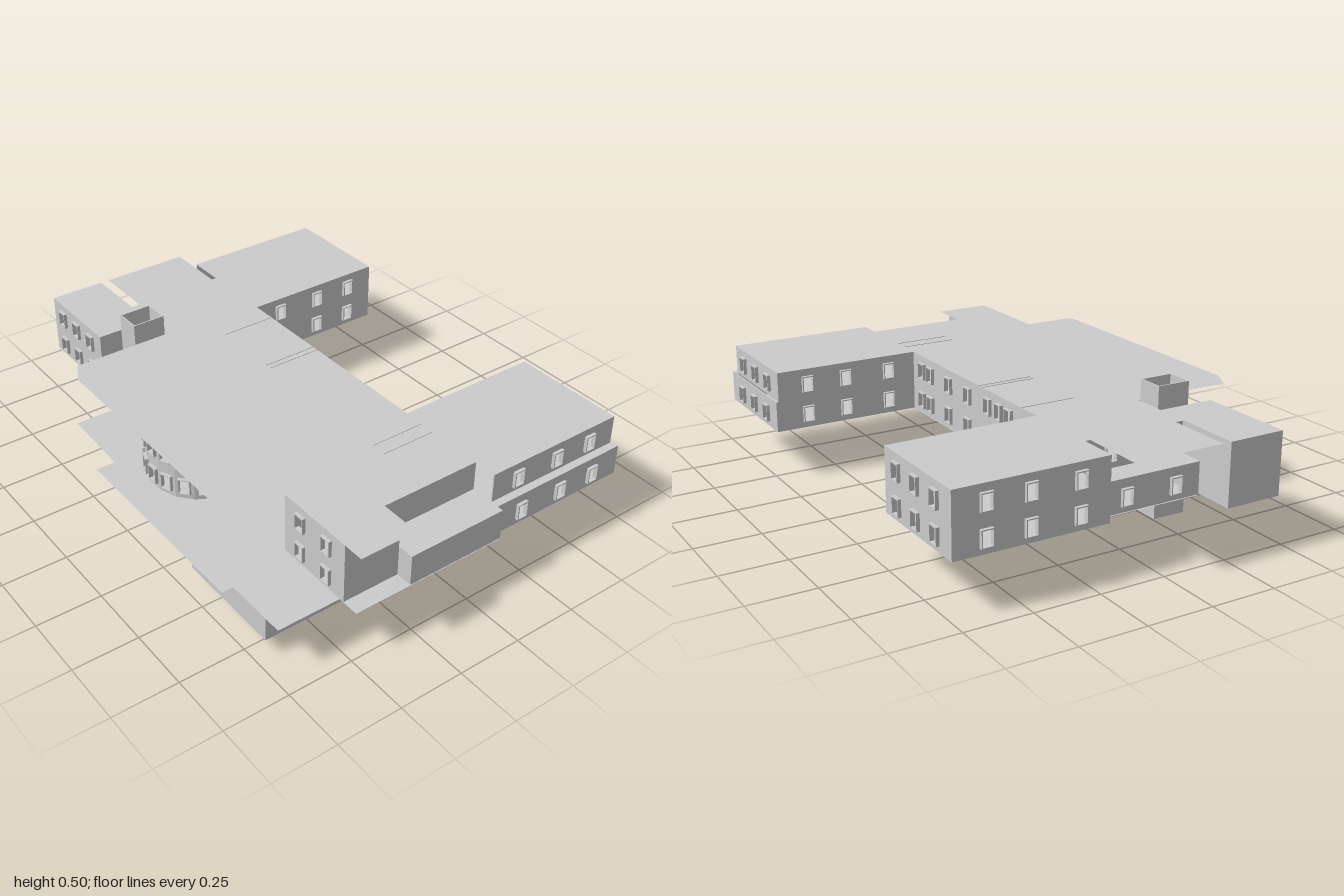
import * as THREE from 'three';

const mat = new THREE.MeshStandardMaterial({ color: 0xcccccc, side: THREE.DoubleSide, flatShading: true });
const BASE = 0.185, MID = 0.305, ROOF = 0.42;
const WALL = 0.005;

function add(parent, geo, name) {
  const m = new THREE.Mesh(geo, mat);
  m.name = name;
  parent.add(m);
  return m;
}

function rect(target, cx, cy, w, h) {
  target.moveTo(cx - w / 2, cy - h / 2);
  target.lineTo(cx + w / 2, cy - h / 2);
  target.lineTo(cx + w / 2, cy + h / 2);
  target.lineTo(cx - w / 2, cy + h / 2);
  target.closePath();
  return target;
}

// Flat thin floor or roof from [x, z] corners
function slab(parent, name, pts, y) {
  const s = new THREE.Shape(pts.map(([x, z]) => new THREE.Vector2(x, -z)));
  const m = add(parent, new THREE.ShapeGeometry(s).rotateX(-Math.PI / 2), name);
  m.position.y = y;
}

// Wall from a to b, outside on its right-hand front, with openings at given distances
function wall(parent, name, a, b, y0, y1, holes = [], win = { w: 0.038, h: 0.056, y: 0.055 }) {
  const dx = b[0] - a[0], dz = b[1] - a[1], len = Math.hypot(dx, dz);
  const g = new THREE.Group();
  g.name = name;
  g.position.set(a[0], y0, a[1]);
  g.rotation.y = -Math.atan2(dz, dx);
  parent.add(g);
  const s = rect(new THREE.Shape(), len / 2, (y1 - y0) / 2, len, y1 - y0);
  for (const d of holes) s.holes.push(rect(new THREE.Path(), d, win.y, win.w, win.h));
  const geo = new THREE.ExtrudeGeometry(s, { depth: WALL, bevelEnabled: false });
  add(g, geo.translate(0, 0, -WALL), 'wallPanel');
  // projecting frame around each opening
  for (const d of holes) {
    const f = rect(new THREE.Shape(), d, win.y, win.w + 0.008, win.h + 0.008);
    f.holes.push(rect(new THREE.Path(), d, win.y, win.w, win.h));
    add(g, new THREE.ExtrudeGeometry(f, { depth: 0.013, bevelEnabled: false }), 'windowFrame');
  }
}

// Run of walls along corners; openings are listed per edge
function storey(parent, name, pts, y0, y1, openings = {}, closed = true) {
  const g = new THREE.Group();
  g.name = name;
  parent.add(g);
  const n = closed ? pts.length : pts.length - 1;
  for (let i = 0; i < n; i++) wall(g, 'wall', pts[i], pts[(i + 1) % pts.length], y0, y1, openings[i]);
}

const box = (x0, x1, z0, z1) => [[x0, z1], [x1, z1], [x1, z0], [x0, z0]];

function wing(parent, name, x1, z0, z1, x1Low, z1Low) {
  const g = new THREE.Group();
  g.name = name;
  parent.add(g);
  const xs = [0.115, 0.3, 0.46];
  [[BASE, MID, x1Low, z1Low], [MID, ROOF, x1, z1]].forEach(([y0, y1, xe, ze]) => {
    const d = ze - z0, xw = xe - 0.15;
    const open = { 0: xs, 1: [0.09, 0.22, 0.35].map(v => v + d - 0.45), 2: xs.map(v => xw - v) };
    storey(g, 'wingStorey', box(0.15, xe, z0, ze), y0, y1, open, false);
    slab(g, 'wingFloor', box(0.15, xe, z0, ze), y0);
  });
  slab(g, 'wingRoof', box(0.15, x1, z0, z1), ROOF);
}

export function createModel() {
  const model = new THREE.Group();
  model.name = 'building';

  // Two side wings
  wing(model, 'frontWing', 0.73, 0.48, 0.93, 0.74, 0.96);
  wing(model, 'backWing', 0.73, -0.9, -0.45, 0.73, -0.45);

  // Central spine with a round bay on its outer side
  const bay = [], N = 9;
  for (let i = 0; i <= N; i++) {
    const t = (i / N) * Math.PI;
    bay.push([-0.445 - 0.2 * Math.sin(t), 0.04 - 0.2 * Math.cos(t)]);
  }
  const facade = [0.4, 0.33, 0.18, 0.03, -0.12, -0.2, -0.27];
  const spine = (front, back, y0, y1) => {
    const pts = [[-0.25, front], [0.15, front], [0.15, back], [-0.25, back], [-0.25, -0.16],
      ...bay, [-0.3, 0.24], [-0.3, 0.6], [-0.475, 0.6], [-0.475, 0.92], [-0.25, 0.92]];
    const open = { 1: facade.map(z => front - z), 2: [0.1, 0.3] };
    for (let i = 0; i < N; i++) open[5 + i] = [0.035];
    open[5 + N + 3] = [0.09, 0.23];
    storey(model, 'spineStorey', pts, y0, y1, open);
  };
  spine(0.985, -0.85, BASE, MID);
  spine(0.84, -0.75, MID, ROOF);

  // Ledges where the lower storey projects
  slab(model, 'frontLedge', box(-0.25, 0.15, 0.84, 0.985), MID);
  slab(model, 'backLedge', box(-0.25, 0.15, -0.85, -0.75), MID);
  slab(model, 'wingLedge', box(0.15, 0.74, 0.92, 0.96), MID + 0.001);

  // Main roof with its chamfered overhang and rear canopy
  slab(model, 'mainRoof', [
    [0.15, 0.84], [0.15, -0.75], [0.13, -0.75], [0.13, -1], [-0.22, -1], [-0.22, -0.75],
    [-0.255, -0.75], [-0.255, -0.49], [-0.645, -0.49], [-0.69, -0.4], [-0.69, 0.59],
    [-0.67, 0.61], [-0.475, 0.61], [-0.475, 1], [-0.25, 1], [-0.25, 0.84],
  ], ROOF);

  // Low kerbs across the spine roof
  for (const z of [-0.35, -0.075, -0.05, 0.56, 0.62]) {
    add(model, new THREE.BoxGeometry(0.22, 0.004, 0.004), 'roofKerb').position.set(0.04, ROOF, z);
  }

  // Terrace and underside
  slab(model, 'terrace', [
    [0.15, 0.985], [0.15, -0.85], [-0.25, -0.85], [-0.25, -0.47], [-0.68, -0.47], [-0.69, -0.17],
    [-0.765, -0.17], [-0.765, 0.65], [-0.72, 0.65], [-0.72, 0.9], [-0.475, 0.9], [-0.475, 0.985],
  ], BASE - 0.003);

  // Rear corner block
  const block = box(-0.475, -0.255, -1, -0.62);
  for (const [y0, y1] of [[BASE, MID], [MID, ROOF]]) {
    storey(model, 'cornerBlockStorey', block, y0, y1, { 3: [0.08, 0.19, 0.3] });
  }
  slab(model, 'cornerBlockRoof', block, ROOF);
  slab(model, 'cornerBlockFloor', block, BASE);

  // Open shaft
  storey(model, 'shaft', box(-0.39, -0.258, -0.6, -0.495), 0, 0.5);

  // Basement with a side door
  const cellar = box(-0.705, -0.065, 0.37, 0.81);
  const g = new THREE.Group();
  g.name = 'basement';
  model.add(g);
  cellar.forEach((p, i) => wall(g, 'basementWall', p, cellar[(i + 1) % 4], 0.062, 0.182,
    i === 1 ? [0.36] : [], { w: 0.06, h: 0.064, y: 0.036 }));
  slab(g, 'basementFloor', cellar, 0.062);
  add(g, new THREE.BoxGeometry(0.32, 0.01, 0.17), 'basementStep').position.set(-0.42, 0.056, 0.455);

  return model;
}
